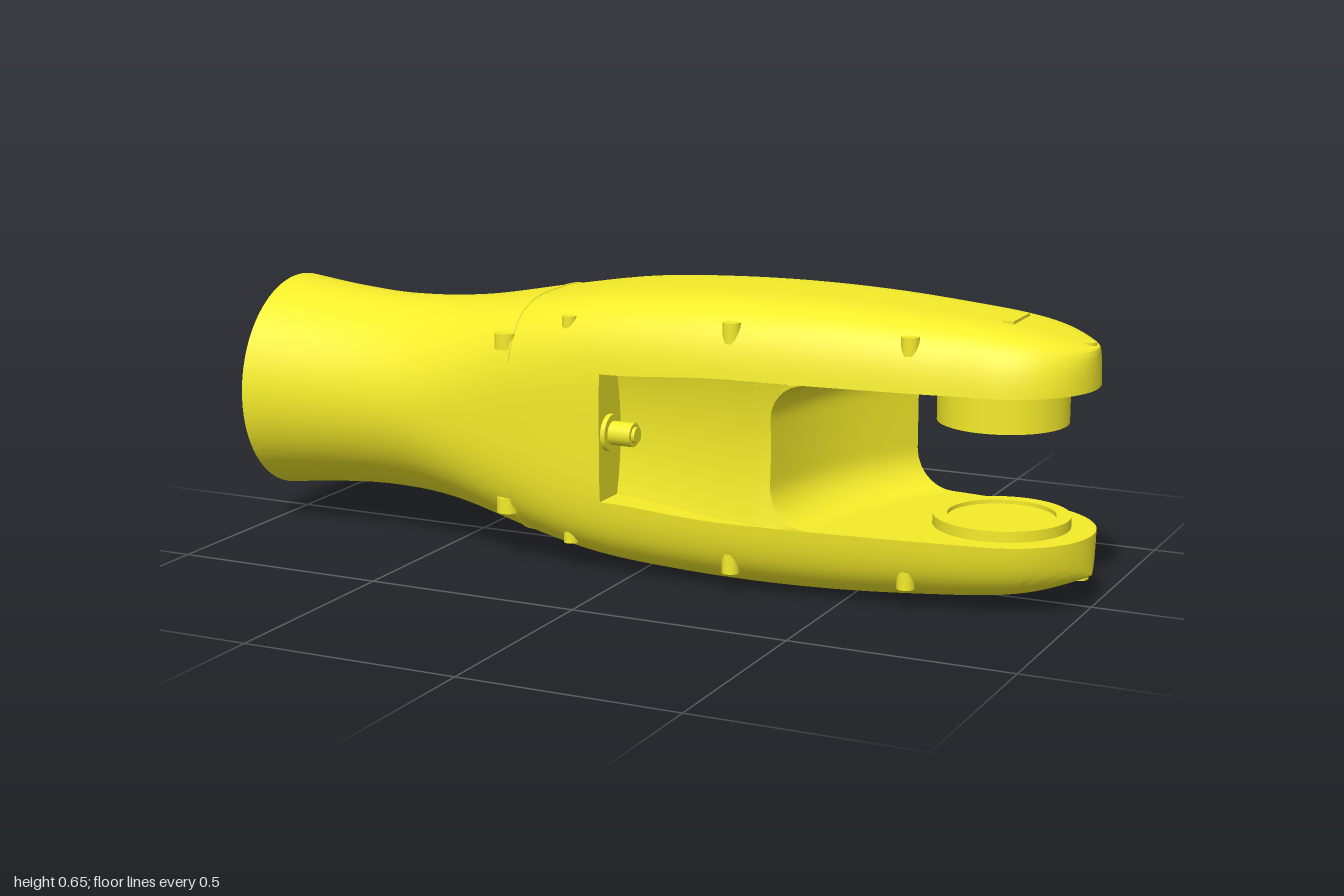
import * as THREE from 'three';
import { mergeGeometries, toCreasedNormals } from 'three/addons/utils/BufferGeometryUtils.js';

const CY = 0.325, CZ = 0.007;      // centre line of the housing
const X0 = -0.05;                  // where the side recess starts
const GAP = 0.16, R = 0.09;        // half height and corner radius of the fork slot

// Smooth interpolation through [x, value] pairs
function smoothTable(table) {
  const n = table.length;
  const slope = table.map((_, i) => {
    const a = table[Math.max(i - 1, 0)], b = table[Math.min(i + 1, n - 1)];
    return (b[1] - a[1]) / (b[0] - a[0]);
  });
  return (x) => {
    let i = 0;
    while (i < n - 2 && x > table[i + 1][0]) i++;
    const [xa, ya] = table[i], [xb, yb] = table[i + 1], d = xb - xa;
    const t = (x - xa) / d, t2 = t * t, t3 = t2 * t;
    return ya * (2 * t3 - 3 * t2 + 1) + yb * (3 * t2 - 2 * t3)
      + d * (slope[i] * (t3 - 2 * t2 + t) + slope[i + 1] * (t3 - t2));
  };
}
const halfHeight = smoothTable([[-1, 0.255], [-0.85, 0.238], [-0.7, 0.23], [-0.5, 0.241], [-0.3, 0.274],
  [-0.1, 0.304], [0.1, 0.318], [0.3, 0.323], [0.5, 0.319], [0.7, 0.306], [0.8, 0.297], [0.9, 0.28], [1, 0.25]]);
const planWidth = smoothTable([[-1, 0.255], [-0.85, 0.238], [-0.7, 0.23], [-0.4, 0.244], [-0.2, 0.261],
  [0, 0.266], [0.2, 0.263], [0.4, 0.25], [0.65, 0.224], [0.8, 0.203], [1, 0.198]]);
const halfWidth = (x) => planWidth(x) * (x > 0.8 ? Math.sqrt(Math.max(0, 1 - ((x - 0.8) / 0.2) ** 2)) : 1);
const power = (x) => 2 + 2 * THREE.MathUtils.smoothstep(x, -0.65, 0);   // round to boxy
const gap = (x) => 0.145 + 0.015 * THREE.MathUtils.smoothstep(x, X0, 0.25);

// Point on the side of the housing; v = -1..1 across the slot height, s = front or back
const across = (x, dy) => {
  const n = power(x);
  return Math.pow(Math.max(0, 1 - Math.pow(Math.abs(dy) / halfHeight(x), n)), 1 / n);
};
const side = (x, v, s) => [x, CY + gap(x) * v, CZ + s * halfWidth(x) * across(x, gap(x) * v)];

// Point on the upper (s = 1) or lower (s = -1) shell, t runs round the section
function shell(x, t, s) {
  const n = power(x), a0 = Math.atan2(gap(x) / halfHeight(x), across(x, gap(x)));
  const a = a0 + (Math.PI - 2 * a0) * t, c = Math.cos(a), q = Math.sin(a);
  const r = Math.pow(Math.abs(c) ** n + Math.abs(q) ** n, -1 / n);
  return [x, CY + s * halfHeight(x) * r * q, CZ + halfWidth(x) * r * c];
}

// Rounded slot end, recess floor and saddle between them
const corner = (v) => {
  const d = Math.max(0, Math.abs(v) * GAP - (GAP - R));
  return R - Math.sqrt(Math.max(0, R * R - d * d));
};
const frontEnd = (v) => 0.345 + corner(v), backEnd = (v) => 0.51 + corner(v);
function floor(x, v) {
  const p = side(x, v, 1), t = THREE.MathUtils.clamp((x - X0) / 0.37, 0, 1);
  return [x, p[1], Math.min(0.165 + 0.065 * t + 0.02 * v * v, p[2] - 0.004)];
}
function saddle(v, w) {
  const a = side(backEnd(v), v, -1), b = floor(frontEnd(v), v);
  const p = a.map((k, i) => k + (b[i] - k) * w);
  p[0] -= 0.03 * Math.sin(Math.PI * w);
  return p;
}

// Grid surface facing along du x dv
function patch(f, nu, nv) {
  const pos = [], index = [];
  for (let i = 0; i <= nu; i++) for (let j = 0; j <= nv; j++) {
    pos.push(...f(i / nu, j / nv));
    if (i < nu && j < nv) {
      const a = i * (nv + 1) + j, b = a + nv + 1;
      index.push(a, b, b + 1, a, b + 1, a + 1);
    }
  }
  const g = new THREE.BufferGeometry();
  g.setAttribute('position', new THREE.Float32BufferAttribute(pos, 3));
  g.setIndex(index);
  return g;
}
const lerp = THREE.MathUtils.lerp;
const V = (u) => Math.sin((u - 0.5) * Math.PI);        // denser near the slot corners
const ease = (u) => 1 - (1 - u) ** 2;                  // denser near the fork tip

export function createModel() {
  const model = new THREE.Group();
  const mat = new THREE.MeshStandardMaterial({ color: 0xf5ec2a, side: THREE.DoubleSide });
  const add = (name, geo, x = 0, y = 0, z = 0) => {
    const m = new THREE.Mesh(geo, mat);
    m.name = name;
    m.position.set(x, y, z);
    model.add(m);
    return m;
  };
  const join = (list) => toCreasedNormals(mergeGeometries(list), 0.5);

  // Outer housing: neck, both fork shells and the back wall
  const neckX = (u) => lerp(-1, X0, u), forkX = (u) => lerp(X0, 1, ease(u));
  const skin = [
    patch((u, t) => side(neckX(u), V(t), 1), 40, 20),
    patch((u, t) => side(neckX(u), V(1 - t), -1), 40, 20),
    patch((u, t) => side(lerp(X0, backEnd(V(1 - t)), u), V(1 - t), -1), 24, 20),
  ];
  for (const fx of [neckX, forkX]) {
    skin.push(patch((u, t) => shell(fx(u), t, 1), fx === neckX ? 40 : 60, 56));
    skin.push(patch((u, t) => shell(fx(u), 1 - t, -1), fx === neckX ? 40 : 60, 56));
  }
  add('housing', join(skin));

  // Side recess with its end wall and upper and lower walls
  const wallX = (u) => lerp(X0, frontEnd(1), u);
  const mix = (a, b, w) => a.map((k, i) => lerp(k, b[i], w));
  add('sideRecess', join([
    patch((u, t) => floor(lerp(X0, frontEnd(V(t)), u), V(t)), 24, 20),
    patch((u, w) => mix(floor(X0, V(u)), side(X0, V(u), 1), w), 20, 1),
    patch((u, w) => mix(floor(wallX(u), 1), side(wallX(u), 1, 1), w), 24, 1),
    patch((u, w) => mix(side(wallX(u), -1, 1), floor(wallX(u), -1), w), 24, 1),
  ]));
  add('forkSaddle', join([patch((u, w) => saddle(V(u), w), 28, 20)]));

  // Flat inner faces of the fork
  const outline = [];
  const edge = (x, s) => outline.push(new THREE.Vector2(x, side(x, 1, s)[2]));
  for (let i = 0; i <= 40; i++) edge(lerp(frontEnd(1), 1, ease(i / 40)), 1);
  for (let i = 39; i >= 0; i--) edge(lerp(backEnd(1), 1, ease(i / 40)), -1);
  for (let i = 1; i <= 20; i++) {
    const p = saddle(1, i / 20);
    outline.push(new THREE.Vector2(p[0], p[2]));
  }
  for (const s of [1, -1]) {
    const g = new THREE.ShapeGeometry(new THREE.Shape(outline)).rotateX(s * Math.PI / 2);
    if (s < 0) g.scale(1, 1, -1).index.array.reverse();
    add('forkInnerFace', g, 0, CY + s * GAP, 0);
  }

  // Turned parts: joint rings and the socket in the neck end
  const turned = (pts) => toCreasedNormals(
    new THREE.LatheGeometry(pts.map((p) => new THREE.Vector2(...p)), 64), 0.5);
  add('upperJointRing', turned([[0, 0.47], [0.11, 0.47], [0.11, 0.397], [0.1425, 0.397], [0.1425, 0.487]]), 0.792, 0, CZ);
  add('lowerJointRing', turned([[0.15, 0.163], [0.15, 0.189], [0.118, 0.189], [0.118, 0.18], [0, 0.18]]), 0.795, 0, CZ);
  add('neckSocket', turned([[0.255, 0], [0.24, 0], [0.235, -0.05], [0.165, -0.05], [0.165, -0.08], [0, -0.08]]),
    -1, CY, CZ).rotation.z = Math.PI / 2;

  // Connector on the end wall of the recess
  [[0.042, 0.012, -0.045], [0.027, 0.065, -0.018], [0.018, 0.02, 0.012]].forEach(([r, len, x]) => {
    add('connector', new THREE.CylinderGeometry(r, r, len, 24), x, 0.33, 0.225).rotation.z = Math.PI / 2;
  });

  // Cover screws, seams and top tabs, mirrored top to bottom
  for (const s of [1, -1]) {
    for (const f of [1, -1]) {
      for (const [x, dy, r, h] of [[-0.31, 0.19, 0.026, 0.036], [-0.148, 0.245, 0.017, 0.03],
        [0.25, 0.257, 0.02, 0.045], [0.645, 0.255, 0.02, 0.04]]) {
        const z = CZ + f * (halfWidth(x) * across(x, dy) - 0.008);
        add('coverScrew', new THREE.CylinderGeometry(r, r, h, 16), x, CY + s * dy, z);
      }
    }
    add('tipScrew', new THREE.CylinderGeometry(0.02, 0.02, 0.03, 16), 0.973, CY + s * 0.245, CZ);
    add('coverTab', new THREE.BoxGeometry(0.025, 0.012, 0.11), 0.815, CY + s * 0.294, CZ);
    const seam = [];
    for (let i = 0; i <= 24; i++) seam.push(new THREE.Vector3(...shell(-0.29, i / 24, s)));
    add('coverSeam', new THREE.TubeGeometry(new THREE.CatmullRomCurve3(seam), 48, 0.003, 6));
  }

  // Back plates: a stadium outline, extruded away from the back wall
  const plate = (name, x, y, w, h, depth, z) => {
    const r = Math.min(w, h) / 2, a = w / 2 - r, b = h / 2 - r, shape = new THREE.Shape();
    const q = Math.PI / 2;
    [[a, b, 0], [-a, b, 1], [-a, -b, 2], [a, -b, 3]].forEach(([cx, cy, k]) =>
      shape.absarc(cx, cy, r, k * q, (k + 1) * q, false));
    add(name, toCreasedNormals(new THREE.ExtrudeGeometry(shape, { depth, bevelEnabled: false, curveSegments: 10 }), 0.6), x, y, z);
  };
  plate('ovalPlate', -0.14, CY, 0.085, 0.21, 0.03, -0.265);
  plate('buttonPlate', 0.15, 0.27, 0.3, 0.095, 0.03, -0.268);
  for (const y of [0.255, 0.395]) {
    add('plateScrew', new THREE.CylinderGeometry(0.01, 0.01, 0.006, 12), -0.14, y, -0.266).rotation.x = Math.PI / 2;
  }
  for (let i = 0; i < 4; i++) {
    add('button', new THREE.CylinderGeometry(0.022, 0.022, 0.03, 6), 0.04 + i * 0.075, 0.27, -0.267).rotation.x = Math.PI / 2;
  }
  return model;
}
